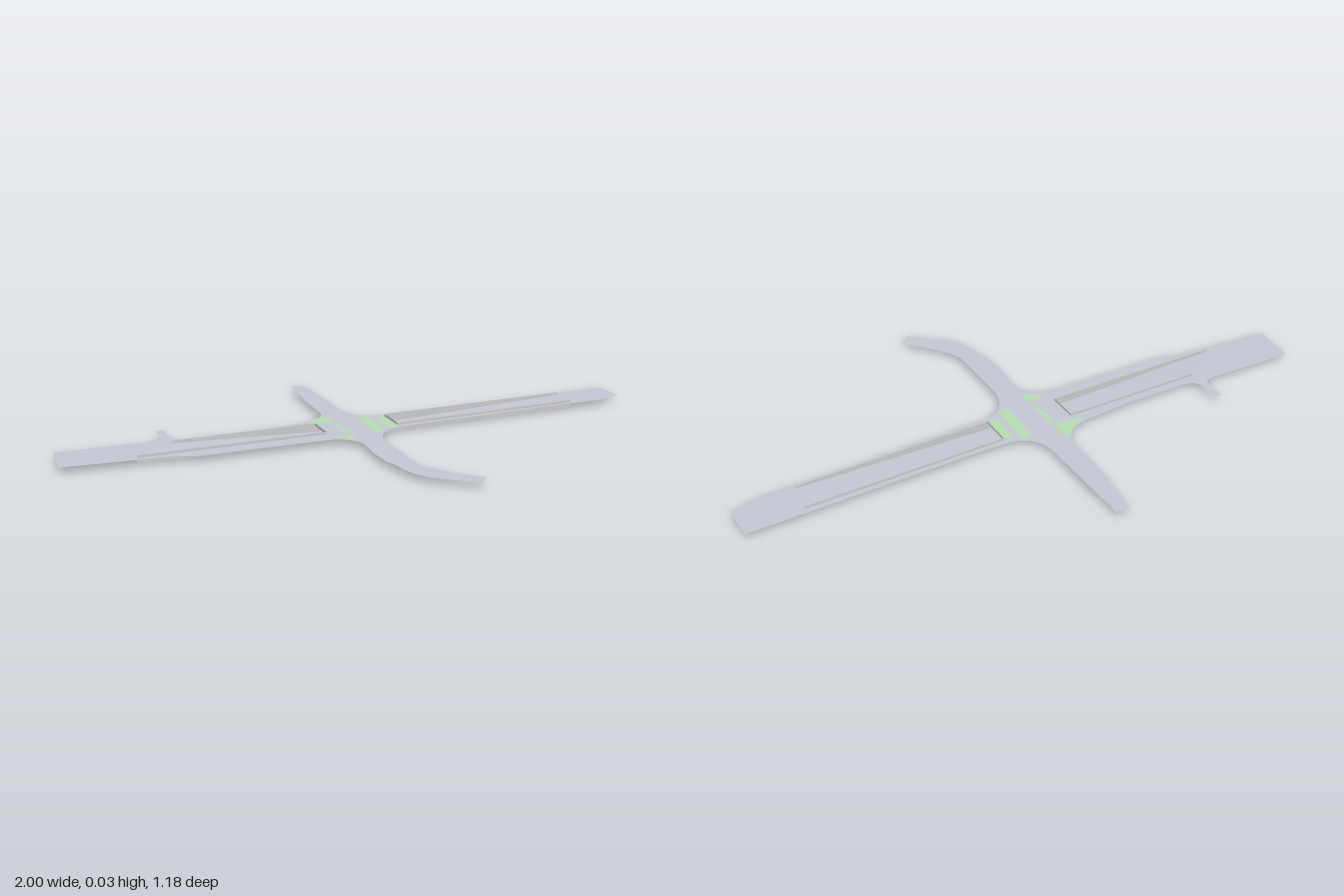
import * as THREE from 'three';

const DECK = 0.021, TOP = 0.03;
const road = new THREE.MeshStandardMaterial({ color: 0xc4c7d2, side: THREE.DoubleSide });
const green = new THREE.MeshStandardMaterial({ color: 0xb4dcae, side: THREE.DoubleSide });
const concrete = new THREE.MeshStandardMaterial({ color: 0xcccccc, side: THREE.DoubleSide });

// Flat polygon in plan (x, z), laid at height y
const plan = pts => pts.map(([x, z]) => new THREE.Vector2(x, -z));
function flat(shape, y, material, name) {
  const g = new THREE.ShapeGeometry(shape, 8).rotateX(-Math.PI / 2).translate(0, y, 0);
  const m = new THREE.Mesh(g, material);
  m.name = name;
  return m;
}

// Four-cornered face
function quad(corners, material, name) {
  const g = new THREE.BufferGeometry();
  g.setAttribute('position', new THREE.Float32BufferAttribute(corners.flat(), 3));
  g.setIndex([0, 1, 2, 0, 2, 3]);
  g.computeVertexNormals();
  const m = new THREE.Mesh(g, material);
  m.name = name;
  return m;
}

// Upright wall between two plan points
const wall = (a, b, y0, y1, name) =>
  quad([[a[0], y0, a[1]], [b[0], y0, b[1]], [b[0], y1, b[1]], [a[0], y1, a[1]]], concrete, name);

export function createModel() {
  const model = new THREE.Group();
  model.name = 'roadJunction';

  // Underpass cuttings: outer far, portal far, portal near, outer near
  const cuttings = [
    [[-0.63, -0.062], [-0.145, -0.1], [-0.135, 0], [-0.76, 0.05]],
    [[0.79, -0.195], [0.11, -0.13], [0.12, -0.025], [0.79, -0.09]],
  ];

  // Street outline; four numbers make a rounded corner (control point, end)
  const outline = [
    [-1, -0.083], [-0.7, -0.1], [-0.65, -0.1, -0.652, -0.14], [-0.662, -0.203], [-0.634, -0.203],
    [-0.629, -0.13], [-0.62, -0.096, -0.58, -0.096], [-0.34, -0.115], [-0.18, -0.14],
    [-0.09, -0.165, -0.088, -0.24], [-0.098, -0.4], [-0.096, -0.592], [-0.05, -0.597],
    [-0.008, -0.24], [0.01, -0.145, 0.12, -0.148], [0.24, -0.158], [0.982, -0.233],
    [0.997, -0.12], [0.895, -0.088], [0.62, -0.062], [0.13, -0.008],
    [0.03, 0.01, 0.026, 0.13], [0.05, 0.375], [0.07, 0.43, 0.2, 0.543], [0.173, 0.585],
    [0.045, 0.495], [-0.005, 0.45, -0.018, 0.36], [-0.035, 0.32], [-0.047, 0.24],
    [-0.048, 0.14], [-0.06, 0.06, -0.16, 0.057], [-0.35, 0.068], [-0.585, 0.085],
    [-0.66, 0.067], [-1, 0.067],
  ];
  const street = new THREE.Shape();
  outline.forEach((p, i) => {
    if (!i) street.moveTo(p[0], -p[1]);
    else if (p.length === 4) street.quadraticCurveTo(p[0], -p[1], p[2], -p[3]);
    else street.lineTo(p[0], -p[1]);
  });
  street.closePath();
  for (const c of cuttings) street.holes.push(new THREE.Path(plan(c)));
  model.add(flat(street, DECK, road, 'streetSurface'));

  // Painted green crossings
  const crossings = [
    [[-0.085, -0.2], [-0.07, -0.12], [-0.175, -0.12]],
    [[-0.082, -0.1], [-0.066, -0.1], [-0.056, -0.005], [-0.07, 0]],
    [[-0.12, 0.035], [-0.05, 0.03], [-0.05, 0.085]],
    [[0.017, -0.145], [0.05, -0.15], [0.062, 0.02], [0.025, 0.03]],
    [[0.077, -0.12], [0.11, -0.125], [0.12, -0.02], [0.083, -0.01]],
  ];
  for (const c of crossings) model.add(flat(new THREE.Shape(plan(c)), DECK + 0.0006, green, 'crossing'));

  // Ramps with retaining walls and a parapet over each portal
  for (const [farEnd, farPortal, nearPortal, nearEnd] of cuttings) {
    const ramp = [[farEnd, DECK], [farPortal, 0], [nearPortal, 0], [nearEnd, DECK]];
    model.add(
      quad(ramp.map(([p, y]) => [p[0], y, p[1]]), road, 'ramp'),
      wall(farEnd, farPortal, 0, TOP, 'retainingWall'),
      wall(nearEnd, nearPortal, 0, TOP, 'retainingWall'),
      wall(farPortal, nearPortal, DECK, TOP, 'portalParapet'),
    );
  }

  // Tunnel under the junction
  const [west, east] = cuttings;
  const floor = [west[1], west[2], east[2], east[1]].map(([x, z]) => [x, 0, z]);
  model.add(
    quad(floor, road, 'tunnelFloor'),
    wall(west[1], east[1], 0, DECK, 'tunnelWall'),
    wall(west[2], east[2], 0, DECK, 'tunnelWall'),
  );
  return model;
}
